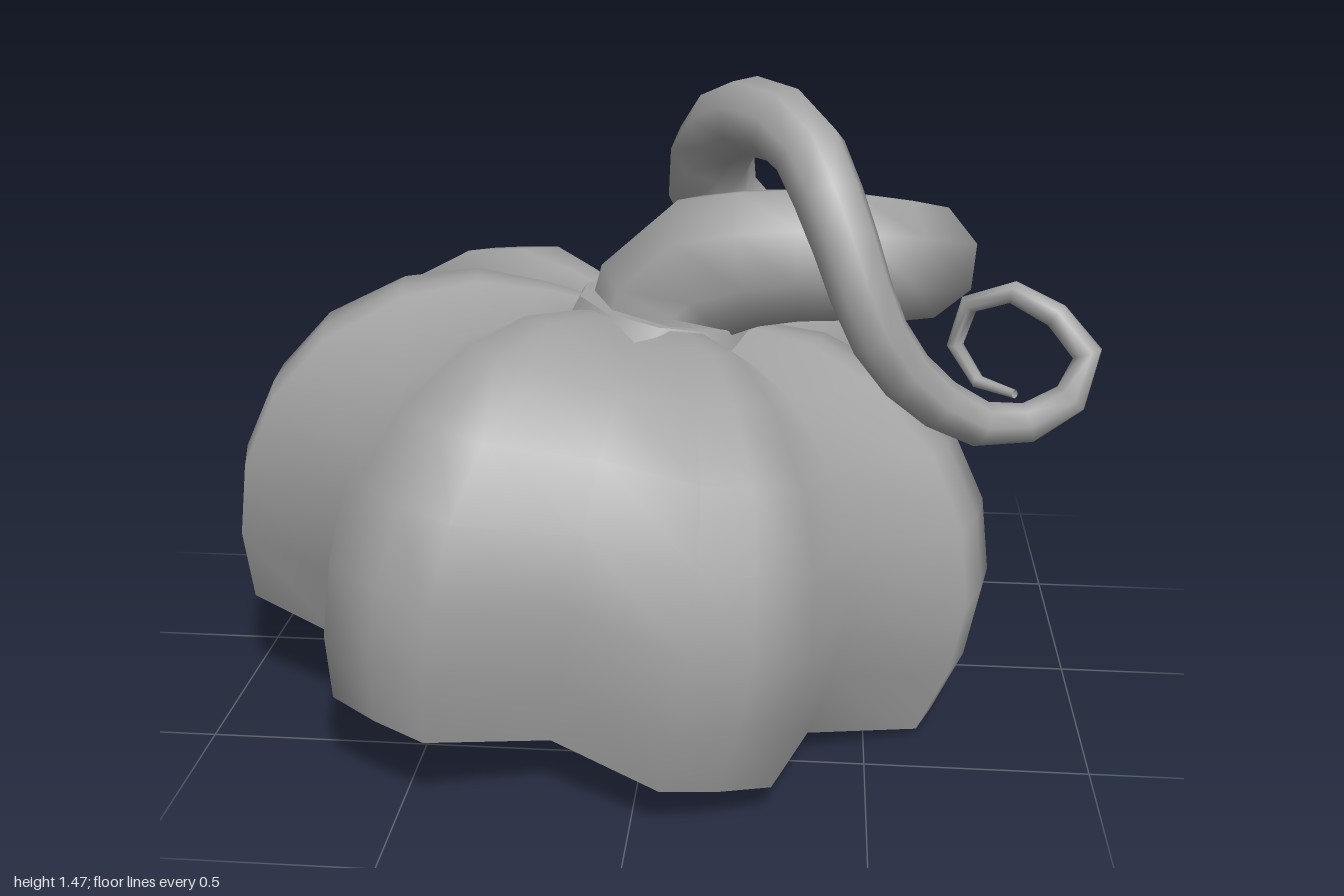
import * as THREE from 'three';
import { mergeVertices } from 'three/addons/utils/BufferGeometryUtils.js';

const rad = THREE.MathUtils.degToRad;

// Profiles (radius, height) from rim to crown along a lobe ridge and along a valley
const RIDGE = [[.855, 0], [.9, .16], [.907, .33], [.86, .5], [.76, .65], [.59, .77], [.42, .82], [.25, .815], [.1, .795], [0, .785]];
const VALLEY = [[.70, 0], [.735, .16], [.74, .33], [.70, .48], [.61, .62], [.48, .725], [.36, .765], [.21, .78], [.1, .785], [0, .785]];
const LOBES = 7, PITCH = 360 / LOBES;
const OFFSETS = [0, PITCH / 6, PITCH / 2, PITCH * 5 / 6];

// Point on the shell at column j and profile position t
function shellPoint(j, t, scale) {
  const k = j % 4;
  const a = rad(-87.8 + Math.floor(j / 4) * PITCH + OFFSETS[k]);
  const prof = k === 2 ? VALLEY : RIDGE;
  const i = Math.min(Math.floor(t), prof.length - 2), f = t - i;
  const r = THREE.MathUtils.lerp(prof[i][0], prof[i + 1][0], f) * scale;
  const y = THREE.MathUtils.lerp(prof[i][1], prof[i + 1][1], f) * scale;
  return new THREE.Vector3(r * Math.cos(a), y, r * Math.sin(a));
}

// The arched opening runs from one ridge to the next
const ARCH = { first: 20, starts: [1, 2.5, 2.9, 2.3, 1] };
function stripStart(j) {
  const k = j - ARCH.first;
  return k >= 0 && k < 4 ? [ARCH.starts[k], ARCH.starts[k + 1]] : [0, 0];
}

function geometryFrom(triangles, smooth) {
  let g = new THREE.BufferGeometry().setFromPoints(triangles);
  if (smooth) g = mergeVertices(g, 1e-4);
  g.computeVertexNormals();
  return g;
}

function addTriangle(list, a, b, c) {
  const area = b.clone().sub(a).cross(c.clone().sub(a)).length();
  if (area > 1e-7) list.push(a, b, c);
}

function addQuad(list, a, b, c, d) {
  addTriangle(list, a, b, c);
  addTriangle(list, a, c, d);
}

function shellGeometry(scale, inward) {
  const list = [];
  for (let j = 0; j < LOBES * 4; j++) {
    const [s0, s1] = stripStart(j);
    for (let t = 0; t < RIDGE.length - 1; t++) {
      const a = shellPoint(j, Math.max(t, s0), scale);
      const b = shellPoint(j + 1, Math.max(t, s1), scale);
      const c = shellPoint(j + 1, Math.max(t + 1, s1), scale);
      const d = shellPoint(j, Math.max(t + 1, s0), scale);
      if (inward) addQuad(list, a, b, c, d);
      else addQuad(list, a, d, c, b);
    }
  }
  return geometryFrom(list, true);
}

// Thickness of the shell along the bottom edge and around the opening
function rimGeometry(inner) {
  const list = [];
  for (let j = 0; j < LOBES * 4; j++) {
    const [s0, s1] = stripStart(j);
    addQuad(list, shellPoint(j, s0, 1), shellPoint(j + 1, s1, 1), shellPoint(j + 1, s1, inner), shellPoint(j, s0, inner));
  }
  const [e0, e1] = [ARCH.first, ARCH.first + 4];
  addQuad(list, shellPoint(e0, 0, 1), shellPoint(e0, 0, inner), shellPoint(e0, 1, inner), shellPoint(e0, 1, 1));
  addQuad(list, shellPoint(e1, 0, 1), shellPoint(e1, 1, 1), shellPoint(e1, 1, inner), shellPoint(e1, 0, inner));
  return geometryFrom(list, false);
}

// Curling stem: centre points and the radius at each
const STEM_POINTS = [
  [.02, .86, .03], [.06, 1, .035], [.23, 1.07, .08], [.42, 1.08, .09], [.58, 1.06, .04],
  [.59, 1.03, -.08], [.43, 1, -.16], [.24, 1.03, -.18], [.12, 1.14, -.17], [.11, 1.28, -.11],
  [.2, 1.39, .04], [.32, 1.36, .17], [.42, 1.17, .3], [.5, .97, .34], [.62, .82, .31],
  [.78, .74, .27], [.92, .79, .25], [.97, .89, .23], [.9, .98, .2], [.78, 1.025, .16],
  [.69, .96, .13], [.69, .86, .13], [.75, .81, .2], [.81, .815, .26]
];
const STEM_RADII = [.2, .19, .165, .155, .145, .135, .125, .12, .11, .1, .09, .085, .075, .068, .06,
  .05, .042, .035, .03, .026, .022, .018, .015, .01];

function stemGeometry() {
  const curve = new THREE.CatmullRomCurve3(STEM_POINTS.map(p => new THREE.Vector3(...p)));
  const rings = 34, sides = 8;
  const g = new THREE.TubeGeometry(curve, rings, 1, sides);
  const pos = g.attributes.position, v = new THREE.Vector3();
  for (let i = 0; i <= rings; i++) {
    const centre = curve.getPointAt(i / rings);
    const t = curve.getUtoTmapping(i / rings) * (STEM_RADII.length - 1);
    const k = Math.min(Math.floor(t), STEM_RADII.length - 2);
    const r = THREE.MathUtils.lerp(STEM_RADII[k], STEM_RADII[k + 1], t - k);
    for (let s = 0; s <= sides; s++) {
      const n = i * (sides + 1) + s;
      v.fromBufferAttribute(pos, n).sub(centre).multiplyScalar(r).add(centre);
      pos.setXYZ(n, v.x, v.y, v.z);
    }
  }
  g.deleteAttribute('uv');
  g.deleteAttribute('normal');
  const smooth = mergeVertices(g, 1e-4);
  smooth.computeVertexNormals();
  return smooth;
}

export function createModel() {
  const model = new THREE.Group();
  model.name = 'pumpkinHat';
  const grey = new THREE.MeshStandardMaterial({ color: 0xa2a2a2, side: THREE.DoubleSide });
  grey.name = 'grey';
  const add = (parent, name, geometry) => {
    const mesh = new THREE.Mesh(geometry, grey);
    mesh.name = name;
    parent.add(mesh);
    return mesh;
  };

  // Hollow lobed shell, tilted to one side
  const shell = new THREE.Group();
  shell.name = 'pumpkinShell';
  shell.position.set(-.152, .135, .012);
  shell.rotation.set(-.02, 0, -.155);
  model.add(shell);
  const inner = .94;
  add(shell, 'outerShell', shellGeometry(1, false));
  add(shell, 'innerShell', shellGeometry(inner, true));
  add(shell, 'shellRim', rimGeometry(inner));

  // Collar under the stem
  const collar = add(shell, 'stemCollar', new THREE.CylinderGeometry(.21, .235, .06, 10));
  collar.position.set(.04, .79, .04);

  add(model, 'curlingStem', stemGeometry());
  return model;
}
